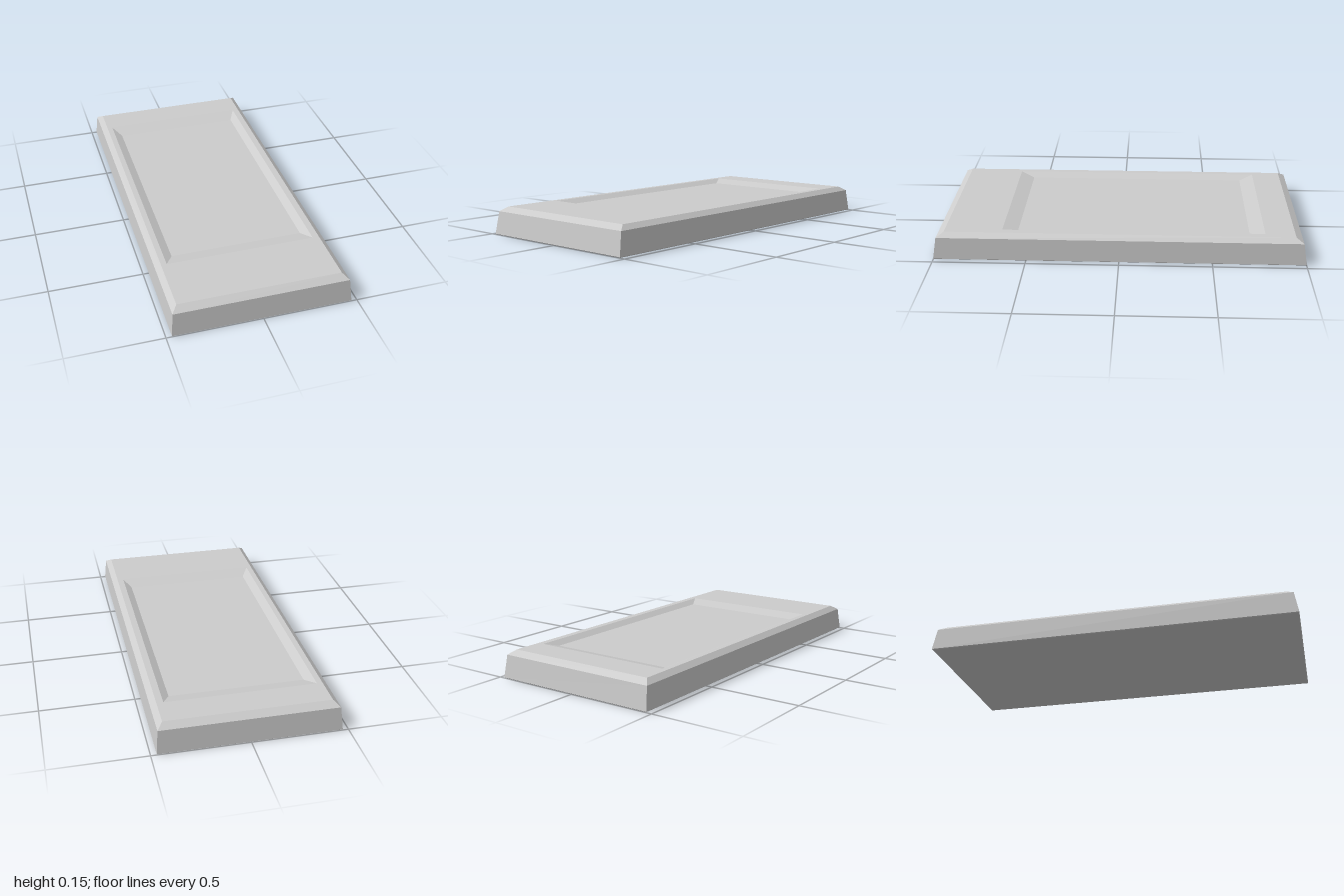
import * as THREE from 'three';

// Rectangular ring of four corners at height y, counter-clockwise from above
const ring = (y, x0, x1, z0, z1) => [[x0, y, z1], [x1, y, z1], [x1, y, z0], [x0, y, z0]];

// Joins successive rings with quads; optionally closes the first and last ring
function loft(rings, capStart, capEnd) {
  const pos = [];
  const quad = (a, b, c, d) => pos.push(...a, ...b, ...c, ...a, ...c, ...d);
  for (let r = 0; r < rings.length - 1; r++) {
    for (let i = 0; i < 4; i++) {
      const j = (i + 1) % 4;
      quad(rings[r][i], rings[r][j], rings[r + 1][j], rings[r + 1][i]);
    }
  }
  if (capStart) quad(...[...rings[0]].reverse());
  if (capEnd) quad(...rings[rings.length - 1]);
  const g = new THREE.BufferGeometry();
  g.setAttribute('position', new THREE.Float32BufferAttribute(pos, 3));
  g.computeVertexNormals();
  return g;
}

export function createModel() {
  const group = new THREE.Group();
  group.name = 'recessedSlab';
  const material = new THREE.MeshStandardMaterial({ color: 0xcccccc, flatShading: true });
  const add = (name, geometry) => {
    const mesh = new THREE.Mesh(geometry, material);
    mesh.name = name;
    group.add(mesh);
  };

  const top = 0.148, floor = 0.127;
  const outerRim = ring(top, -0.43, 0.43, -0.94, 0.94);
  const recessRim = ring(top, -0.4, 0.395, -0.78, 0.63);

  // Tapered body: underside, small foot chamfer, drafted walls and bevelled top edge
  add('body', loft([
    ring(0, -0.465, 0.465, -0.995, 0.995),
    ring(0.004, -0.47, 0.47, -1, 1),
    ring(0.124, -0.46, 0.46, -0.98, 0.98),
    outerRim,
  ], true, false));

  // Flat border between the bevel and the recess
  add('topBorder', loft([outerRim, recessRim], false, false));

  // Shallow sunken panel with sloping sides
  add('recess', loft([recessRim, ring(floor, -0.355, 0.355, -0.7, 0.55)], false, true));

  return group;
}
